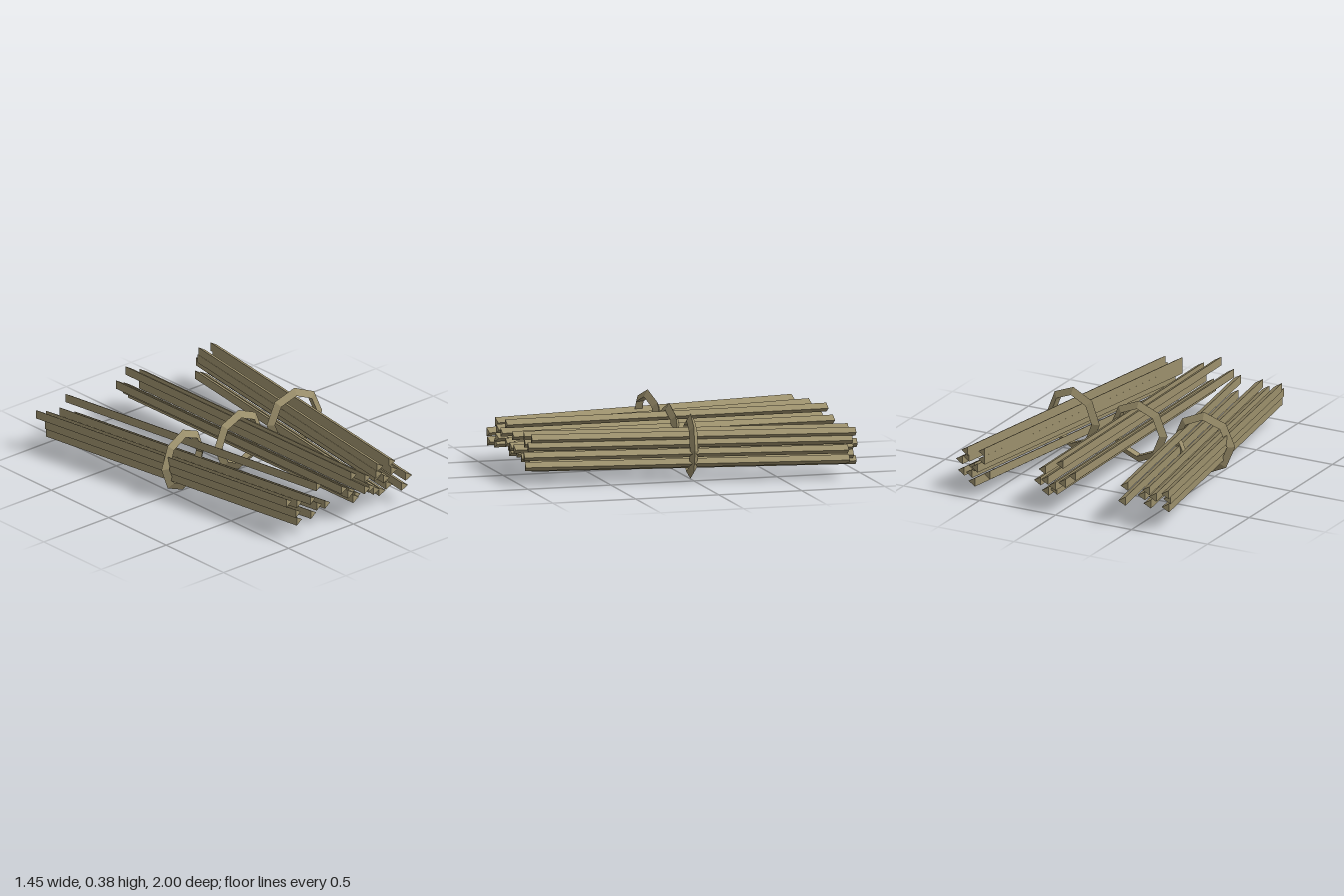
import * as THREE from 'three';

const ROD_RADIUS = 0.03;
const HOOP_TUBE = 0.028;

// Three-sided rod along z, one edge facing +x
function makeRod(length, [x, y, z], material) {
  const geometry = new THREE.CylinderGeometry(ROD_RADIUS, ROD_RADIUS, length, 3);
  geometry.rotateY(Math.PI / 2).rotateX(Math.PI / 2);
  const rod = new THREE.Mesh(geometry, material);
  rod.name = 'rod';
  rod.position.set(x, y, z);
  return rod;
}

// Loose rods inside an eight-sided binding hoop
function makeBundle({ name, x, yaw, length, hoopRadius, hoopY, rods }, material) {
  const bundle = new THREE.Group();
  bundle.name = name;
  bundle.position.x = x;
  bundle.rotation.y = yaw;
  for (const place of rods) bundle.add(makeRod(length, place, material));

  const hoop = new THREE.Mesh(new THREE.TorusGeometry(hoopRadius, HOOP_TUBE, 3, 8), material);
  hoop.name = 'bindingHoop';
  hoop.position.y = hoopY;
  bundle.add(hoop);
  return bundle;
}

export function createModel() {
  const model = new THREE.Group();
  model.name = 'rodBundles';
  const straw = new THREE.MeshStandardMaterial({ color: 0x9c906c, flatShading: true });
  straw.name = 'dry straw';

  // Each rod: sideways offset, height, slide along the bundle
  model.add(makeBundle({
    name: 'rightBundle', x: -0.43, yaw: 0.148, length: 1.89, hoopRadius: 0.163, hoopY: 0.195,
    rods: [
      [-0.13, 0.24, -0.04], [-0.12, 0.187, 0.02], [-0.11, 0.135, 0.02],
      [-0.05, 0.21, -0.03], [0.01, 0.225, 0.02], [0.005, 0.14, 0.03],
      [0.045, 0.182, 0.04], [0.125, 0.255, -0.03], [0.155, 0.145, 0.01],
    ],
  }, straw));

  model.add(makeBundle({
    name: 'middleBundle', x: 0, yaw: 0.01, length: 1.94, hoopRadius: 0.16, hoopY: 0.19,
    rods: [
      [-0.08, 0.24, 0.02], [0, 0.302, 0.015], [-0.018, 0.19, 0.01],
      [0.025, 0.178, -0.03], [0.03, 0.143, 0], [0.07, 0.14, -0.03],
      [0.112, 0.25, 0.01], [0.1, 0.185, 0.02], [0.143, 0.177, 0.01],
    ],
  }, straw));

  model.add(makeBundle({
    name: 'leftBundle', x: 0.43, yaw: -0.148, length: 1.89, hoopRadius: 0.163, hoopY: 0.195,
    rods: [
      [-0.075, 0.135, 0.03], [-0.044, 0.27, 0.02], [-0.048, 0.225, 0.015],
      [-0.03, 0.185, -0.03], [0.057, 0.265, -0.01], [0.06, 0.22, 0.01],
      [0.013, 0.175, 0], [0.137, 0.177, 0.045], [0.031, 0.13, 0],
      [0.115, 0.115, 0.035], [-0.003, 0.09, -0.02],
    ],
  }, straw));

  return model;
}
